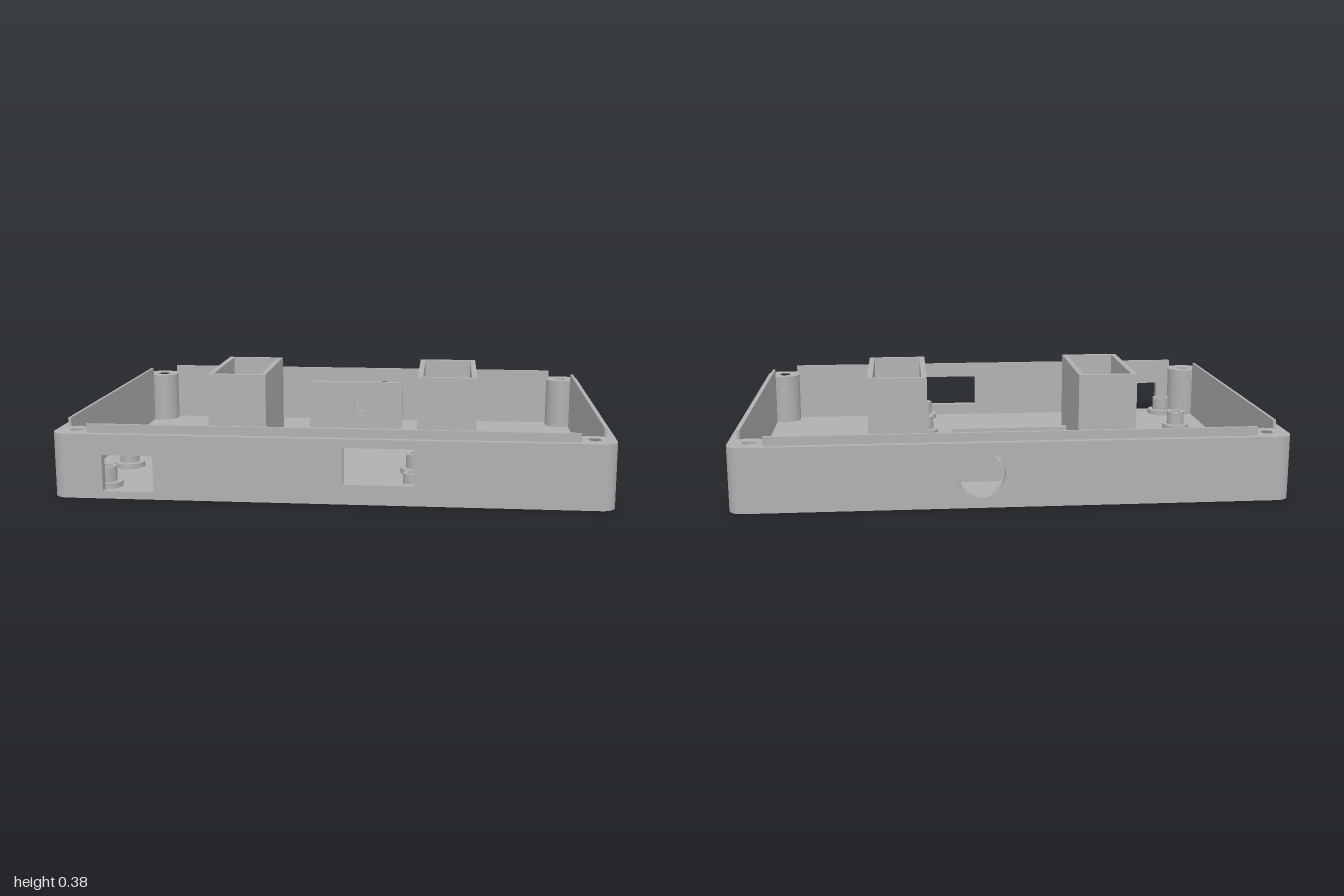
import * as THREE from 'three';
import { toCreasedNormals } from 'three/addons/utils/BufferGeometryUtils.js';

const X = 1, Z = 0.703;          // outer half sizes
const IX = 0.963, IZ = 0.668;    // inner half sizes
const FLOOR = 0.025, RIM = 0.236, LIP = 0.268;
const BX = 0.925, BZ = 0.63, BR = 0.064; // corner screw bosses

export function createModel() {
  const model = new THREE.Group();
  const grey = new THREE.MeshStandardMaterial({ color: 0xb0b0b0 });
  grey.name = 'grey plastic';

  const add = (name, geometry) => {
    const mesh = new THREE.Mesh(geometry, grey);
    mesh.name = name;
    model.add(mesh);
    return mesh;
  };
  const extrude = (shape, depth) => toCreasedNormals(
    new THREE.ExtrudeGeometry(shape, { depth, bevelEnabled: false, curveSegments: 24 }), 0.6);
  // Plan outline (x, z) raised from y0 to y1
  const slab = (name, shape, y0, y1) =>
    add(name, extrude(shape, y1 - y0).rotateX(Math.PI / 2).translate(0, y1, 0));
  // Upright panel outline (x, y) from z0 to z1
  const panel = (name, shape, z0, z1) =>
    add(name, extrude(shape, z1 - z0).translate(0, 0, z0));
  const block = (name, x0, x1, y0, y1, z0, z1) => add(name,
    new THREE.BoxGeometry(x1 - x0, y1 - y0, z1 - z0)
      .translate((x0 + x1) / 2, (y0 + y1) / 2, (z0 + z1) / 2));
  const circle = (x, y, r) => new THREE.Path().absarc(x, y, r, 0, Math.PI * 2, true);
  const rect = (x0, x1, y0, y1, Kind = THREE.Shape) => new Kind([
    [x0, y0], [x1, y0], [x1, y1], [x0, y1]].map(p => new THREE.Vector2(...p)));
  const hexagon = (x, y, r) => new THREE.Path(Array.from({ length: 6 }, (_, i) =>
    new THREE.Vector2(x + r * Math.cos(i * Math.PI / 3), y + r * Math.sin(i * Math.PI / 3))));
  const arc = (cx, cy, r, a0, a1, n) => Array.from({ length: n + 1 }, (_, i) => {
    const a = a0 + (a1 - a0) * i / n;
    return [cx + r * Math.cos(a), cy + r * Math.sin(a)];
  });

  const corners = [[1, 1], [-1, 1], [-1, -1], [1, -1]];
  const standoffs = [[-0.825, 0.32], [0.295, 0.32], [-0.825, 0.615], [0.295, 0.615]];

  // Floor with countersunk screw holes and hexagonal nut pockets
  const R = 0.05;
  const outline = corners.flatMap(([sx, sz], i) =>
    arc(sx * (X - R), sz * (Z - R), R, i * Math.PI / 2, (i + 1) * Math.PI / 2, 10));
  const floor = new THREE.Shape(outline.map(p => new THREE.Vector2(...p)));
  corners.forEach(([sx, sz]) => floor.holes.push(circle(sx * BX, sz * BZ, 0.04)));
  standoffs.forEach(([x, z]) => floor.holes.push(hexagon(x, z, 0.034)));
  slab('floor', floor, 0, FLOOR);

  // Corner pieces: rounded outer edge merged with a hollow screw boss
  const endX = BX - Math.sqrt(BR ** 2 - (IZ - BZ) ** 2);
  const endZ = BZ - Math.sqrt(BR ** 2 - (IX - BX) ** 2);
  const a0 = Math.atan2(endZ - BZ, IX - BX);
  const a1 = Math.atan2(IZ - BZ, endX - BX) - Math.PI * 2;
  const cornerPoints = [
    [endX, Z], ...arc(X - R, Z - R, R, Math.PI / 2, 0, 10),
    [X, endZ], ...arc(BX, BZ, BR, a0, a1, 20)];
  for (const [sx, sz] of corners) {
    for (const [y0, y1, r] of [[FLOOR, 0.12, 0.04], [0.12, RIM, 0.023]]) {
      const s = new THREE.Shape(cornerPoints.map(([x, z]) => new THREE.Vector2(sx * x, sz * z)));
      s.holes.push(circle(sx * BX, sz * BZ, r));
      slab('cornerBoss', s, y0, y1);
    }
  }

  // Front wall with two connector openings
  const front = rect(-endX, endX, FLOOR, RIM);
  front.holes.push(rect(-0.815, -0.63, 0.027, 0.16, THREE.Path));
  front.holes.push(rect(0.05, 0.3, 0.072, 0.205, THREE.Path));
  panel('frontWall', front, IZ, Z);

  // Back wall with a round opening
  const back = rect(-endX, endX, FLOOR, RIM);
  back.holes.push(circle(0.117, 0.123, 0.085));
  panel('backWall', back, -Z, -IZ);

  // Side walls and the raised locating lip
  for (const s of [-1, 1]) {
    const span = (a, b) => [Math.min(s * a, s * b), Math.max(s * a, s * b)];
    block('sideWall', ...span(IX, X), FLOOR, RIM, -endZ, endZ);
    block('sideLip', ...span(IX, IX + 0.011), RIM, LIP, -endZ, endZ);
    block('endLip', -endX, endX, RIM, LIP, ...span(IZ, IZ + 0.012));
  }

  // Two tall open-topped boxes
  for (const [x0, x1] of [[-0.528, -0.298], [0.295, 0.525]]) {
    const s = rect(x0, x1, -0.235, 0.233);
    s.holes.push(rect(x0 + 0.021, x1 - 0.021, -0.214, 0.212, THREE.Path));
    slab('openBox', s, FLOOR, 0.379);
  }

  // Circuit board standoffs: wide foot and narrow post
  for (const [x, z] of standoffs) {
    for (const [name, r, y0, y1] of [['standoffFoot', 0.058, FLOOR, 0.045], ['standoffPost', 0.037, 0.045, 0.1]]) {
      const s = new THREE.Shape().absarc(x, z, r, 0, Math.PI * 2, false);
      s.holes.push(circle(x, z, 0.022));
      slab(name, s, y0, y1);
    }
  }

  // Upright retaining plate and the low step behind it
  const plate = rect(-0.212, 0.21, FLOOR, RIM);
  plate.holes.push(circle(0.02, 0.132, 0.03));
  panel('retainingPlate', plate, -0.49, -0.46);
  block('rearStep', -0.187, 0.182, FLOOR, 0.034, -IZ, -0.49);

  return model;
}
